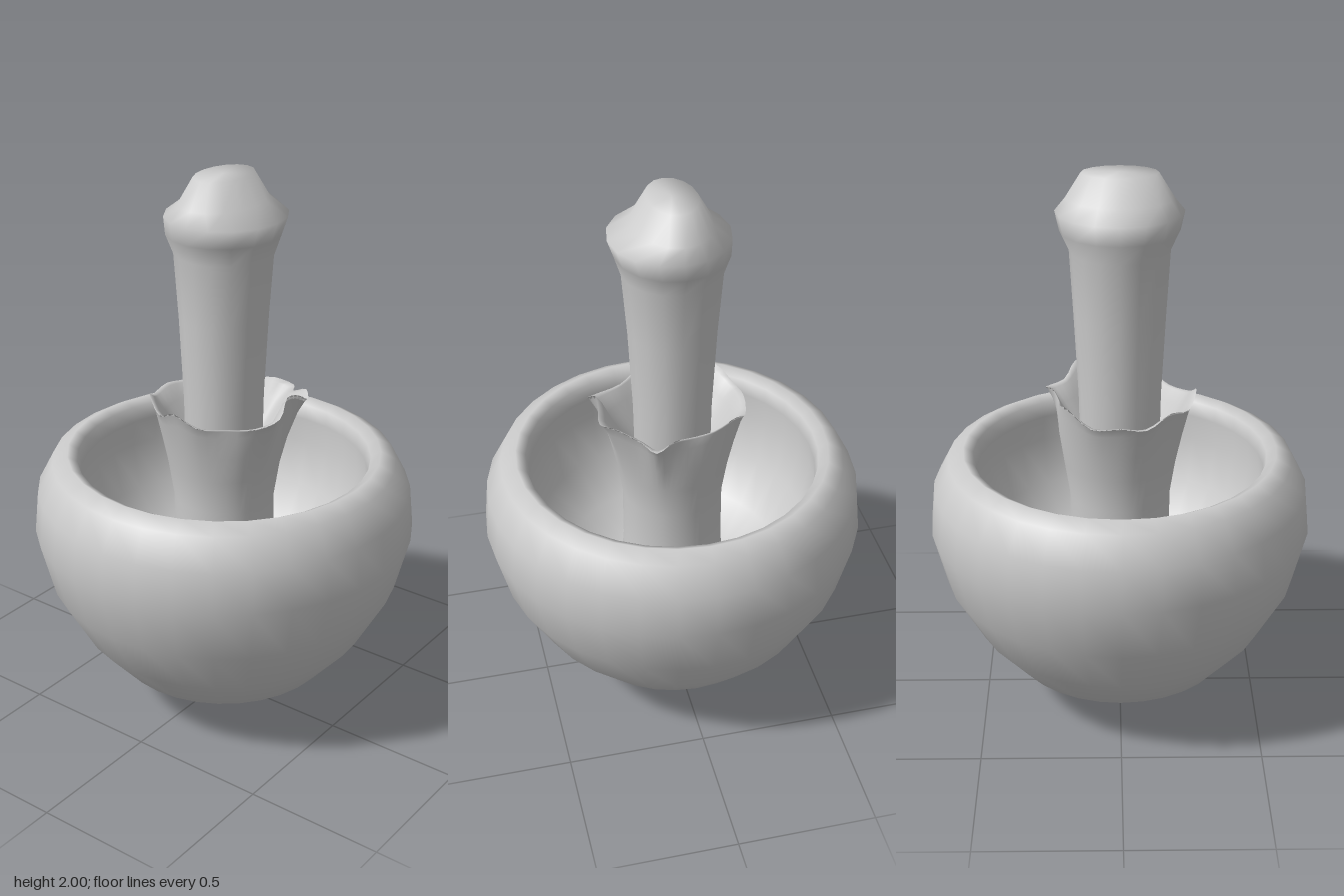
import * as THREE from 'three';

const material = new THREE.MeshStandardMaterial({ color: 0xcccccc, side: THREE.DoubleSide });
const v2 = ([x, y]) => new THREE.Vector2(x, y);

// Closed rings stacked into one smooth skin; point(row, angle) gives each vertex.
function loft(rows, segments, point) {
  const positions = [], index = [];
  for (let i = 0; i < rows; i++) {
    for (let j = 0; j < segments; j++) {
      positions.push(...point(i, (j / segments) * Math.PI * 2));
      if (i === rows - 1) continue;
      const a = i * segments + j, b = i * segments + ((j + 1) % segments);
      index.push(a, b, b + segments, a, b + segments, a + segments);
    }
  }
  const geometry = new THREE.BufferGeometry();
  geometry.setAttribute('position', new THREE.Float32BufferAttribute(positions, 3));
  geometry.setIndex(index);
  geometry.computeVertexNormals();
  return geometry;
}

// Torn edge of the skirt: [x, height, z] going round from the front towards +x.
const edge = new THREE.CatmullRomCurve3([
  [0, 1.26, 0.27], [0.06, 1.25, 0.275], [0.11, 1.22, 0.28], [0.16, 1.23, 0.24],
  [0.2, 1.19, 0.16], [0.265, 1.18, 0.115], [0.24, 1.2, 0.05], [0.215, 1.19, -0.03],
  [0.21, 1.2, -0.1], [0.18, 1.22, -0.18], [0.1, 1.17, -0.24], [0, 1.18, -0.26],
  [-0.09, 1.17, -0.25], [-0.17, 1.21, -0.2], [-0.24, 1.18, -0.1], [-0.27, 1.22, -0.01],
  [-0.25, 1.18, 0.07], [-0.18, 1.17, 0.15], [-0.13, 1.18, 0.24], [-0.07, 1.21, 0.29],
].map((p) => new THREE.Vector3(...p)), true);

export function createModel() {
  const group = new THREE.Group();
  const add = (name, geometry) => {
    const mesh = new THREE.Mesh(geometry, material);
    mesh.name = name;
    group.add(mesh);
  };

  // Upturned cap: outer dome, rolled rim, hollow inside
  add('cap', new THREE.LatheGeometry([
    [0, 0.005], [0.13, 0.022], [0.27, 0.08], [0.4, 0.17], [0.53, 0.32], [0.635, 0.51],
    [0.685, 0.71], [0.67, 0.86], [0.615, 0.965], [0.56, 0.995], [0.525, 0.975], [0.515, 0.92],
    [0.525, 0.82], [0.49, 0.65], [0.39, 0.5], [0.24, 0.41], [0, 0.37],
  ].map(v2), 32));

  // Stem with bulbous end: [radius x, radius z, height]
  const stem = [
    [0.14, 0.135, 0.9], [0.145, 0.14, 1.2], [0.16, 0.155, 1.5], [0.173, 0.173, 1.73],
    [0.205, 0.195, 1.8], [0.22, 0.207, 1.865], [0.185, 0.135, 1.91], [0.13, 0.085, 1.998], [0, 0, 2],
  ];
  add('stem', loft(stem.length, 16, (i, a) => {
    const [rx, rz, y] = stem[i];
    return [rx * Math.sin(a), y, rz * Math.cos(a) + (i === 5 ? 0.01 : 0)];
  }));

  // Lower stem sheath flaring into the ragged skirt, then folding back inside.
  // Each row: [base radius, base height, blend towards the torn edge]
  const skirt = [
    [0.2, 0.36, 0], [0.18, 0.6, 0], [0.18, 0.82, 0], [0.2, 0.95, 0], [0.215, 1.03, 0.15],
    [0.225, 1.1, 0.55], [0.235, 1.15, 0.85], [0.24, 1.2, 1],
    [0.2, 1.16, 0.72], [0.18, 1.09, 0.4], [0.13, 1.0, 0],
  ];
  add('skirt', loft(skirt.length, 60, (i, a) => {
    const [r, y, t] = skirt[i];
    const p = edge.getPoint(a / (Math.PI * 2));
    const around = Math.atan2(p.x, p.z);
    return [
      THREE.MathUtils.lerp(r * Math.sin(around), p.x, t),
      THREE.MathUtils.lerp(y, p.y, t),
      THREE.MathUtils.lerp(r * Math.cos(around), p.z, t),
    ];
  }));

  return group;
}
